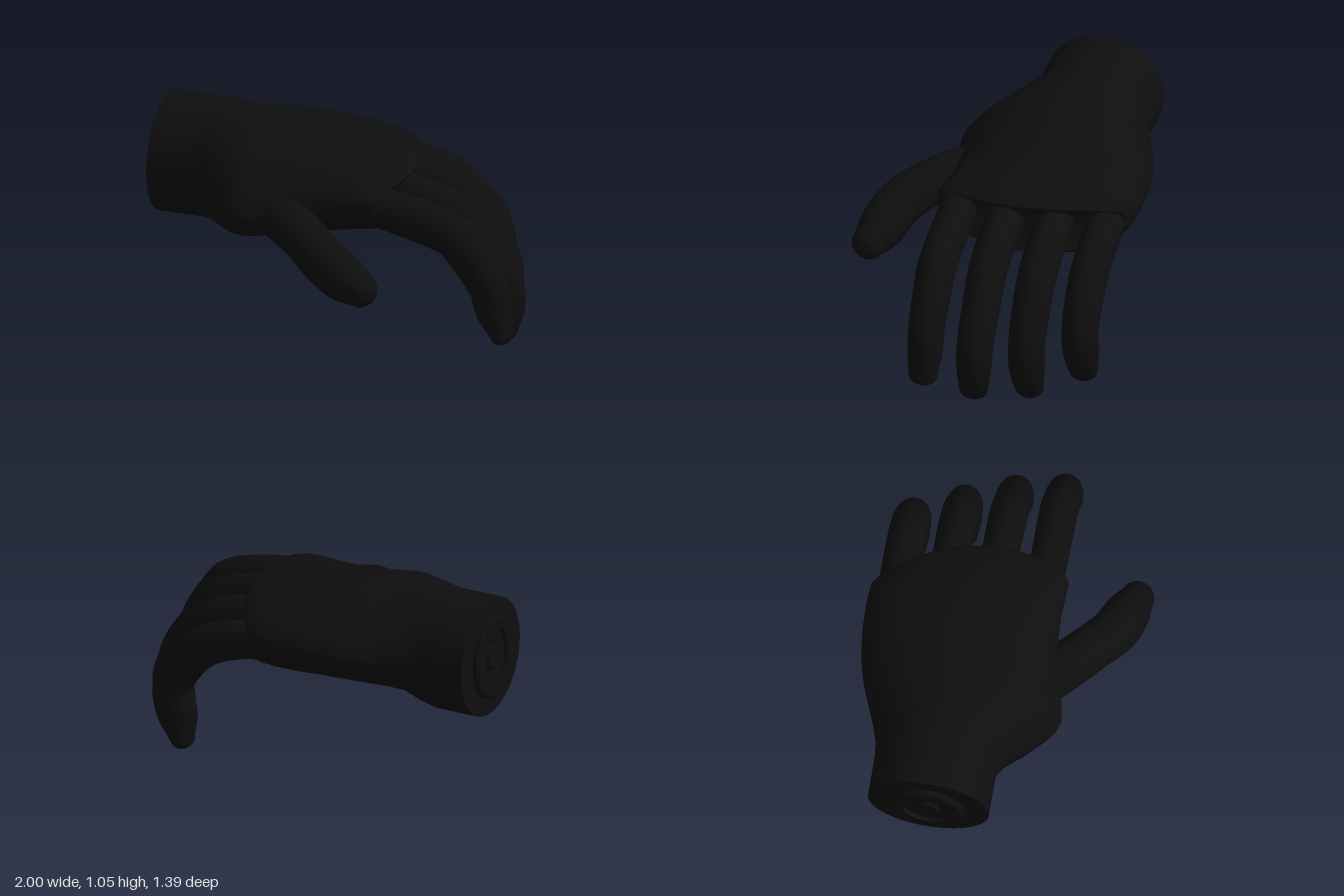
import * as THREE from 'three';
import { toCreasedNormals } from 'three/addons/utils/BufferGeometryUtils.js';

const SIDES = 32;

// Skin a list of rings (arrays of Vector3) and close both ends with flat caps.
function loft(rings) {
  const n = rings[0].length, pos = [], idx = [];
  for (const ring of rings) for (const p of ring) pos.push(p.x, p.y, p.z);
  for (let i = 0; i < rings.length - 1; i++) {
    for (let j = 0; j < n; j++) {
      const a = i * n + j, b = i * n + (j + 1) % n;
      idx.push(a, b, a + n, b, b + n, a + n);
    }
  }
  for (const [ring, flip] of [[rings[0], true], [rings[rings.length - 1], false]]) {
    const start = pos.length / 3;
    const mid = new THREE.Vector3();
    for (const p of ring) { pos.push(p.x, p.y, p.z); mid.addScaledVector(p, 1 / n); }
    pos.push(mid.x, mid.y, mid.z);
    for (let j = 0; j < n; j++) {
      const a = start + j, b = start + (j + 1) % n;
      idx.push(...(flip ? [b, a, start + n] : [a, b, start + n]));
    }
  }
  // Turn the faces outward whichever way the rings run.
  const v = (i) => new THREE.Vector3().fromArray(pos, i * 3);
  let volume = 0;
  for (let i = 0; i < idx.length; i += 3) volume += v(idx[i]).dot(v(idx[i + 1]).cross(v(idx[i + 2])));
  if (volume < 0) idx.reverse();
  const g = new THREE.BufferGeometry();
  g.setAttribute('position', new THREE.Float32BufferAttribute(pos, 3));
  g.setIndex(idx);
  g.computeVertexNormals();
  return g;
}

// Rounded digit along a path; each point is [x, y, z, half width, half thickness].
function digit(points, sideOf, tip) {
  const path = new THREE.CatmullRomCurve3(points.map((p) => new THREE.Vector3(p[0], p[1], p[2])), false, 'catmullrom', 0.5);
  const size = new THREE.CatmullRomCurve3(points.map((p) => new THREE.Vector3(p[3], p[4], 0)), false, 'catmullrom', 0.5);
  const rings = [];
  const addRing = (t, ahead, scale) => {
    const c = path.getPoint(t), s = size.getPoint(t), tan = path.getTangent(t);
    const side = sideOf(tan);
    const up = new THREE.Vector3().crossVectors(side, tan).normalize();
    c.addScaledVector(tan, ahead);
    rings.push(Array.from({ length: SIDES }, (_, j) => {
      const a = (j / SIDES) * Math.PI * 2;
      return c.clone()
        .addScaledVector(side, Math.cos(a) * s.x * scale)
        .addScaledVector(up, Math.sin(a) * s.y * scale);
    }));
  };
  for (let i = 0; i <= 36; i++) addRing(i / 36, 0, 1);
  for (let i = 1; i <= 7; i++) {
    const a = (i / 7) * Math.PI * 0.47;
    addRing(1, Math.sin(a) * tip, Math.cos(a));
  }
  return loft(rings);
}

// Palm and wrist: [x, zMin, zMax, yTop, yBottom, yOuterEdge, yThumbEdge, bow, hollow, back power]
const PALM = [
  [-0.97, -0.525, 0.085, 1.05, 0.44, 0.745, 0.745, 0, 0, 1],
  [-0.75, -0.525, 0.085, 1.05, 0.44, 0.745, 0.745, 0, 0, 1],
  [-0.68, -0.535, 0.125, 1.05, 0.455, 0.745, 0.73, 0, 0, 1.1],
  [-0.60, -0.56, 0.215, 1.05, 0.49, 0.75, 0.70, 0, 0.01, 1.25],
  [-0.50, -0.60, 0.305, 1.045, 0.495, 0.75, 0.68, 0, 0.02, 1.35],
  [-0.45, -0.62, 0.34, 1.042, 0.495, 0.755, 0.68, 0, 0.025, 1.35],
  [-0.40, -0.64, 0.357, 1.04, 0.497, 0.76, 0.68, 0, 0.03, 1.35],
  [-0.30, -0.665, 0.34, 1.03, 0.505, 0.77, 0.69, 0.05, 0.04, 1.3],
  [-0.15, -0.685, 0.30, 1.015, 0.525, 0.77, 0.72, 0.2, 0.05, 1.2],
  [0.00, -0.695, 0.275, 0.99, 0.535, 0.77, 0.75, 0.4, 0.05, 1],
  [0.14, -0.697, 0.27, 0.965, 0.55, 0.77, 0.78, 0.6, 0.05, 0.9],
  [0.26, -0.697, 0.275, 0.94, 0.57, 0.77, 0.80, 0.8, 0.03, 0.82],
  [0.365, -0.69, 0.28, 0.91, 0.60, 0.77, 0.81, 1, 0.01, 0.75],
  [0.385, -0.665, 0.255, 0.885, 0.625, 0.77, 0.81, 1, 0, 0.75],
];

function palmGeometry() {
  const n = 56;
  return loft(PALM.map(([x, z0, z1, top, bottom, yOut, yThumb, bow, hollow, power]) =>
    Array.from({ length: n }, (_, j) => {
      const a = (j / n) * Math.PI * 2, c = Math.cos(a), s = Math.sin(a);
      const z = (z0 + z1) / 2 + c * (z1 - z0) / 2;
      const mid = (yOut + yThumb) / 2;
      let y = THREE.MathUtils.lerp(yOut, yThumb, (c + 1) / 2);
      if (s > 0) y += (top - mid) * Math.pow(s, power);
      else {
        y += (bottom - mid) * Math.pow(-s, 1 - 0.2 * bow);
        // Hollow of the palm
        y += hollow * Math.exp(-Math.pow((z + 0.2) / 0.18, 2));
      }
      // Knuckle line bows back towards the little finger
      return new THREE.Vector3(x - bow * 0.65 * (z + 0.08) ** 2, y, z);
    })));
}

// Finger paths in side view: [x, y, half thickness]; half widths are shared.
const WIDTHS = [0.088, 0.094, 0.096, 0.095, 0.091, 0.087, 0.073];
const FINGERS = [
  { name: 'indexFinger', z: 0.16, path: [[0.15, 0.79, 0.09], [0.42, 0.75, 0.11], [0.67, 0.685, 0.115],
    [0.765, 0.595, 0.115], [0.875, 0.43, 0.105], [0.905, 0.3, 0.095], [0.943, 0.18, 0.055]] },
  { name: 'middleFinger', z: -0.085, path: [[0.15, 0.78, 0.09], [0.42, 0.745, 0.11], [0.62, 0.665, 0.115],
    [0.73, 0.54, 0.11], [0.85, 0.37, 0.105], [0.875, 0.23, 0.1], [0.882, 0.105, 0.055]] },
  { name: 'ringFinger', z: -0.325, path: [[0.12, 0.77, 0.09], [0.38, 0.73, 0.11], [0.57, 0.64, 0.115],
    [0.68, 0.51, 0.11], [0.765, 0.34, 0.107], [0.755, 0.19, 0.105], [0.717, 0.055, 0.057]] },
  { name: 'littleFinger', z: -0.565, path: [[0.02, 0.74, 0.09], [0.24, 0.72, 0.1], [0.44, 0.65, 0.105],
    [0.57, 0.53, 0.105], [0.642, 0.38, 0.103], [0.612, 0.235, 0.105], [0.583, 0.115, 0.058]] },
];

// Thumb: [x, y, z, half width, half thickness]
const THUMB = [
  [-0.3, 0.67, 0.12, 0.13, 0.11],
  [-0.13, 0.675, 0.3, 0.125, 0.115],
  [0.02, 0.655, 0.44, 0.118, 0.115],
  [0.14, 0.605, 0.53, 0.12, 0.12],
  [0.26, 0.55, 0.575, 0.115, 0.122],
  [0.365, 0.515, 0.612, 0.085, 0.09],
];

export function createModel() {
  const model = new THREE.Group();
  model.name = 'hand';
  const black = new THREE.MeshStandardMaterial({ color: 0x0e0e0e });
  black.name = 'black';
  const add = (name, geometry) => {
    const mesh = new THREE.Mesh(geometry, black);
    mesh.name = name;
    model.add(mesh);
    return mesh;
  };

  add('palmAndWrist', palmGeometry());

  for (const { name, z, path } of FINGERS) {
    const points = path.map(([x, y, h], i) => [x, y, z, WIDTHS[i], h]);
    add(name, digit(points, () => new THREE.Vector3(0, 0, 1), 0.05));
  }

  const up = new THREE.Vector3(0, 1, 0);
  add('thumb', digit(THUMB, (tan) => new THREE.Vector3().crossVectors(tan, up).normalize(), 0.08));

  // Raised mounting ring and hub on the wrist end
  const profile = [[0.215, 0], [0.215, 0.02], [0.2, 0.03], [0.15, 0.03], [0.15, 0.008], [0.07, 0.008], [0.06, 0.025], [0, 0.025]]
    .map(([r, y]) => new THREE.Vector2(r, y));
  const mount = add('wristMount', toCreasedNormals(new THREE.LatheGeometry(profile, 40), 0.5));
  mount.rotation.z = Math.PI / 2;
  mount.scale.z = 0.85;
  mount.position.set(-0.97, 0.745, -0.22);

  return model;
}
